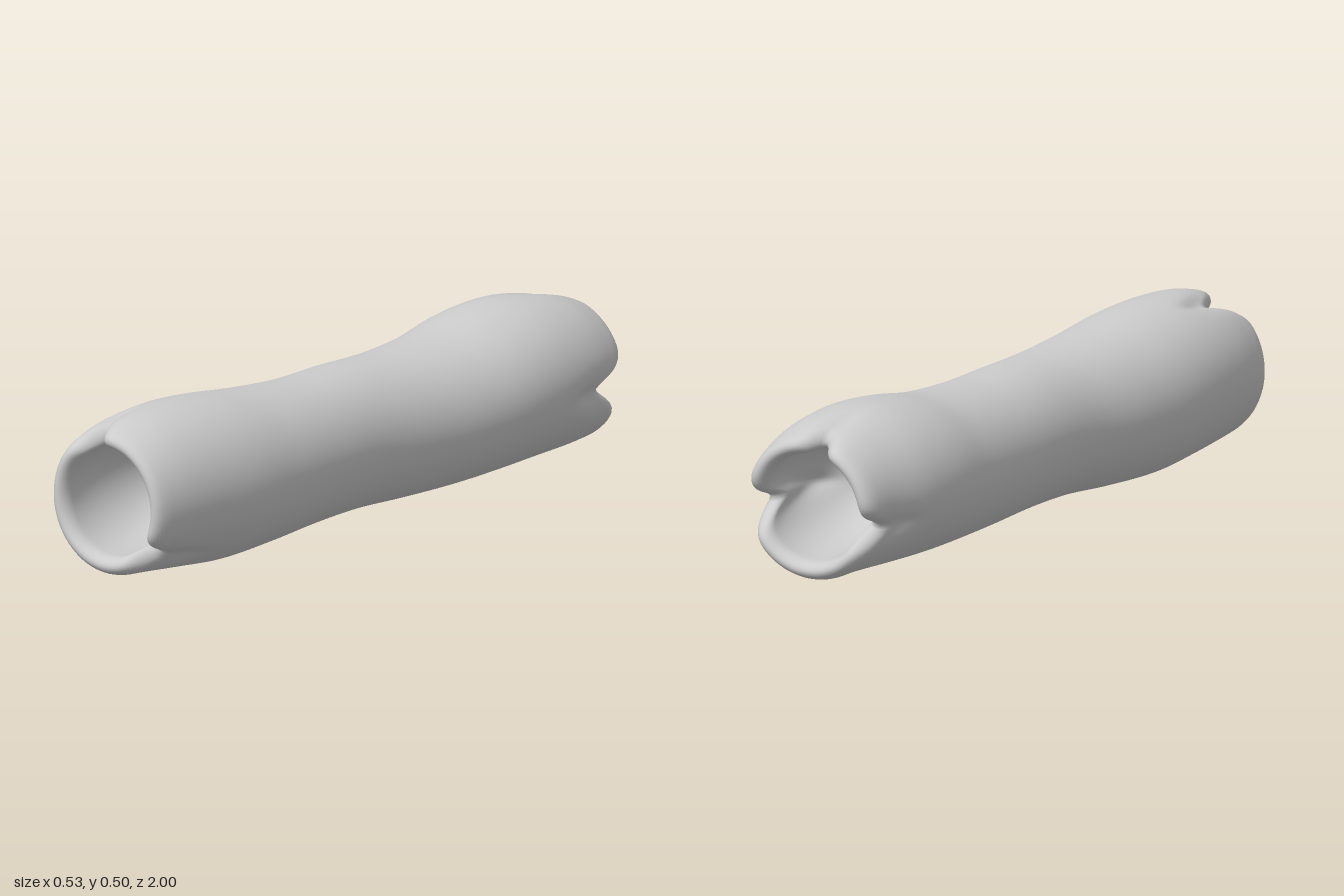
import * as THREE from 'three';

// Silhouette stations along z: z, left x, right x, bottom y, top y
const STATIONS = [
  [-0.97, -0.2, 0.235, 0.035, 0.455],
  [-0.88, -0.207, 0.252, 0.032, 0.48],
  [-0.72, -0.235, 0.264, 0.027, 0.498],
  [-0.58, -0.242, 0.262, 0.022, 0.488],
  [-0.4, -0.225, 0.242, 0.018, 0.458],
  [-0.2, -0.21, 0.215, 0.02, 0.446],
  [0, -0.205, 0.197, 0.027, 0.45],
  [0.2, -0.21, 0.2, 0.024, 0.45],
  [0.4, -0.24, 0.208, 0.01, 0.463],
  [0.6, -0.263, 0.212, 0.003, 0.485],
  [0.75, -0.264, 0.2, 0.015, 0.491],
  [0.88, -0.255, 0.183, 0.027, 0.482],
  [0.97, -0.24, 0.168, 0.035, 0.46],
];

// Notches in each rim: angle in degrees, depth, angular half width
const NOTCHES = {
  front: [[112, 0.12, 0.2], [-47, 0.1, 0.2]],
  back: [[98, 0.075, 0.18], [-8, 0.115, 0.24], [196, 0.1, 0.22]],
};

const LIP = 0.045; // depth of the rounded lip
const INNER = 0.74; // inner opening relative to the outer section
const BOWL = 0.34; // depth of the hollow
const SIDES = 96;

const spline = new THREE.CubicInterpolant(
  STATIONS.map((s) => s[0]), STATIONS.flatMap((s) => s.slice(1)), 4, new Float32Array(4));

function notchDepth(end, angle) {
  let depth = 0;
  for (const [deg, d, w] of NOTCHES[end]) {
    const t = angle - THREE.MathUtils.degToRad(deg);
    const delta = Math.atan2(Math.sin(t), Math.cos(t));
    depth += d * Math.exp(-((Math.abs(delta) / w) ** 1.7));
  }
  return depth;
}

// Half of the skin, from the middle of the tube over the lip to the bowl's floor:
// z = position, k = scale of the section, w = how far the notches pull it in
function halfRows() {
  const rows = [];
  const rim = 1 - LIP;
  for (let i = 0; i <= 36; i++) {
    const z = rim * (1 - (1 - i / 36) ** 1.25);
    rows.push({ z, k: 1, w: THREE.MathUtils.smoothstep(z, 0.6, rim) });
  }
  for (let i = 1; i <= 12; i++) {
    const a = (i / 12) * Math.PI;
    rows.push({ z: rim + LIP * Math.sin(a), k: 1 - (1 - INNER) * (1 - Math.cos(a)) / 2, w: 1 });
  }
  for (let i = 1; i <= 18; i++) {
    const b = (i / 18) * Math.PI / 2;
    rows.push({
      z: rim - BOWL * Math.sin(b),
      k: i === 18 ? 0 : INNER * Math.cos(b) ** 0.75,
      w: 1 - THREE.MathUtils.smoothstep(i / 18, 0, 0.75),
    });
  }
  return rows;
}

function tubeGeometry() {
  const half = halfRows();
  const rows = [
    ...half.slice().reverse().map((r) => ({ ...r, end: 'front', sign: 1 })),
    ...half.slice(1).map((r) => ({ ...r, end: 'back', sign: -1 })),
  ];
  const positions = [];
  const indices = [];
  rows.forEach(({ z, k, w, end, sign }, i) => {
    for (let j = 0; j < SIDES; j++) {
      const angle = (j / SIDES) * Math.PI * 2;
      const notch = notchDepth(end, angle);
      const pz = sign * (z - notch * w);
      const [l, r, b, t] = spline.evaluate(pz);
      // The skin also sinks into a shallow furrow at each notch
      const scale = k * (1 - 0.8 * notch * w ** 4);
      positions.push(
        (l + r) / 2 + ((r - l) / 2) * scale * Math.cos(angle),
        (b + t) / 2 + ((t - b) / 2) * scale * Math.sin(angle),
        pz);
      if (i < rows.length - 1) {
        const a = i * SIDES + j;
        const n = i * SIDES + ((j + 1) % SIDES);
        indices.push(a, a + SIDES, n, n, a + SIDES, n + SIDES);
      }
    }
  });
  const geometry = new THREE.BufferGeometry();
  geometry.setAttribute('position', new THREE.Float32BufferAttribute(positions, 3));
  geometry.setIndex(indices);
  geometry.computeVertexNormals();
  return geometry;
}

export function createModel() {
  const group = new THREE.Group();
  group.name = 'notchedTube';
  const body = new THREE.Mesh(
    tubeGeometry(),
    new THREE.MeshStandardMaterial({ color: 0xcccccc }));
  body.name = 'tubeBody';
  group.add(body);
  return group;
}
